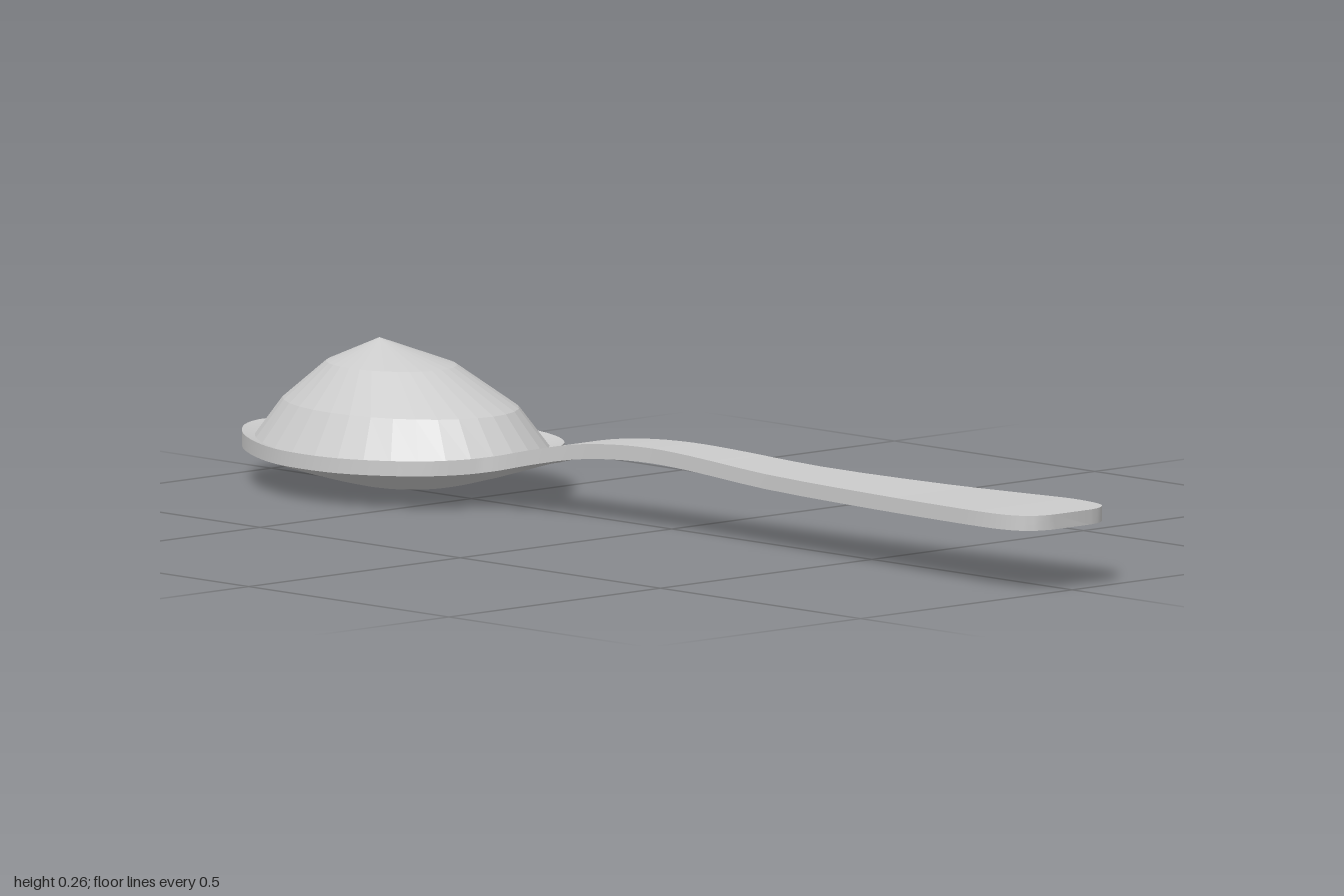
import * as THREE from 'three';
import { toCreasedNormals } from 'three/addons/utils/BufferGeometryUtils.js';

// Skin closed loops of [x, y, z] points, with optional flat end caps
function loft(rings, caps) {
  const n = rings[0].length, index = [];
  for (let i = 0; i < rings.length - 1; i++) {
    for (let j = 0; j < n; j++) {
      const k = (j + 1) % n;
      const a = i * n + j, b = i * n + k, c = b + n, d = a + n;
      index.push(a, d, c, a, c, b);
    }
  }
  if (caps) {
    const last = (rings.length - 1) * n;
    for (let j = 1; j < n - 1; j++) {
      index.push(0, j, j + 1, last, last + j + 1, last + j);
    }
  }
  const geometry = new THREE.BufferGeometry();
  geometry.setAttribute('position', new THREE.Float32BufferAttribute(rings.flat(2), 3));
  geometry.setIndex(index);
  return geometry;
}

// Spoon stations from bowl tip to handle end: [half width, top height, z]
const STATIONS = [
  [0.03, 0.09, -1], [0.06, 0.09, -0.99], [0.105, 0.09, -0.96], [0.161, 0.089, -0.9],
  [0.209, 0.088, -0.82], [0.238, 0.087, -0.74], [0.247, 0.087, -0.66],
  [0.238, 0.087, -0.58], [0.207, 0.088, -0.5], [0.163, 0.089, -0.44],
  [0.11, 0.091, -0.4], [0.083, 0.094, -0.38], [0.071, 0.099, -0.355],
  [0.06, 0.112, -0.3], [0.05, 0.132, -0.2], [0.049, 0.143, -0.1], [0.05, 0.147, 0],
  [0.054, 0.145, 0.1], [0.066, 0.136, 0.3], [0.087, 0.134, 0.6],
  [0.105, 0.136, 0.8], [0.111, 0.137, 0.88], [0.107, 0.137, 0.94],
  [0.094, 0.137, 0.975], [0.072, 0.137, 0.993], [0.045, 0.137, 1],
];
const THICKNESS = 0.026;
const BOWL_Z = -0.66, BOWL_DEPTH = 0.059;

// How far the sheet sinks below its edge, u = -1..1 across the width
function dip(u, z) {
  const t = Math.min(1, Math.abs(z - BOWL_Z) / (z < BOWL_Z ? 0.34 : 0.28));
  return BOWL_DEPTH * (1 - t ** 1.5) * (1 - Math.abs(u) ** 1.5);
}

function spoonGeometry() {
  const curve = new THREE.CatmullRomCurve3(STATIONS.map((s) => new THREE.Vector3(...s)));
  const columns = 12;
  const rings = curve.getPoints(75).map(({ x: w, y, z }) => {
    const top = [], bottom = [];
    for (let j = 0; j <= columns; j++) {
      const u = (2 * j) / columns - 1;
      const h = y - dip(u, z);
      top.push([w * u, h, z]);
      bottom.unshift([w * u, h - THICKNESS, z]);
    }
    return [...top, ...bottom];
  });
  return toCreasedNormals(loft(rings, true), 0.5);
}

// Egg-shaped rings of the heap: half width, height, widest z, back z, front z
const HEAP = [
  [0.222, 0.077, -0.66, -0.97, -0.385],
  [0.172, 0.15, -0.67, -0.912, -0.445],
  [0.1, 0.217, -0.7, -0.825, -0.575],
  [0, 0.258, -0.73, -0.73, -0.73],
];

function heapGeometry() {
  const sides = 32;
  return loft(HEAP.map(([w, y, mid, back, front]) =>
    Array.from({ length: sides }, (_, j) => {
      const a = (j / sides) * Math.PI * 2, s = Math.sin(a);
      return [w * Math.cos(a), y, mid + s * (s < 0 ? mid - back : front - mid)];
    })), false).toNonIndexed();
}

export function createModel() {
  const group = new THREE.Group();
  group.name = 'heapedSpoon';

  const spoon = new THREE.Mesh(spoonGeometry(), new THREE.MeshStandardMaterial({ color: 0xcccccc }));
  spoon.name = 'spoon';

  const heapShape = heapGeometry();
  heapShape.computeVertexNormals();
  const heap = new THREE.Mesh(heapShape, new THREE.MeshStandardMaterial({
    color: 0xcccccc, flatShading: true, side: THREE.DoubleSide,
  }));
  heap.name = 'heap';

  group.add(spoon, heap);
  return group;
}
